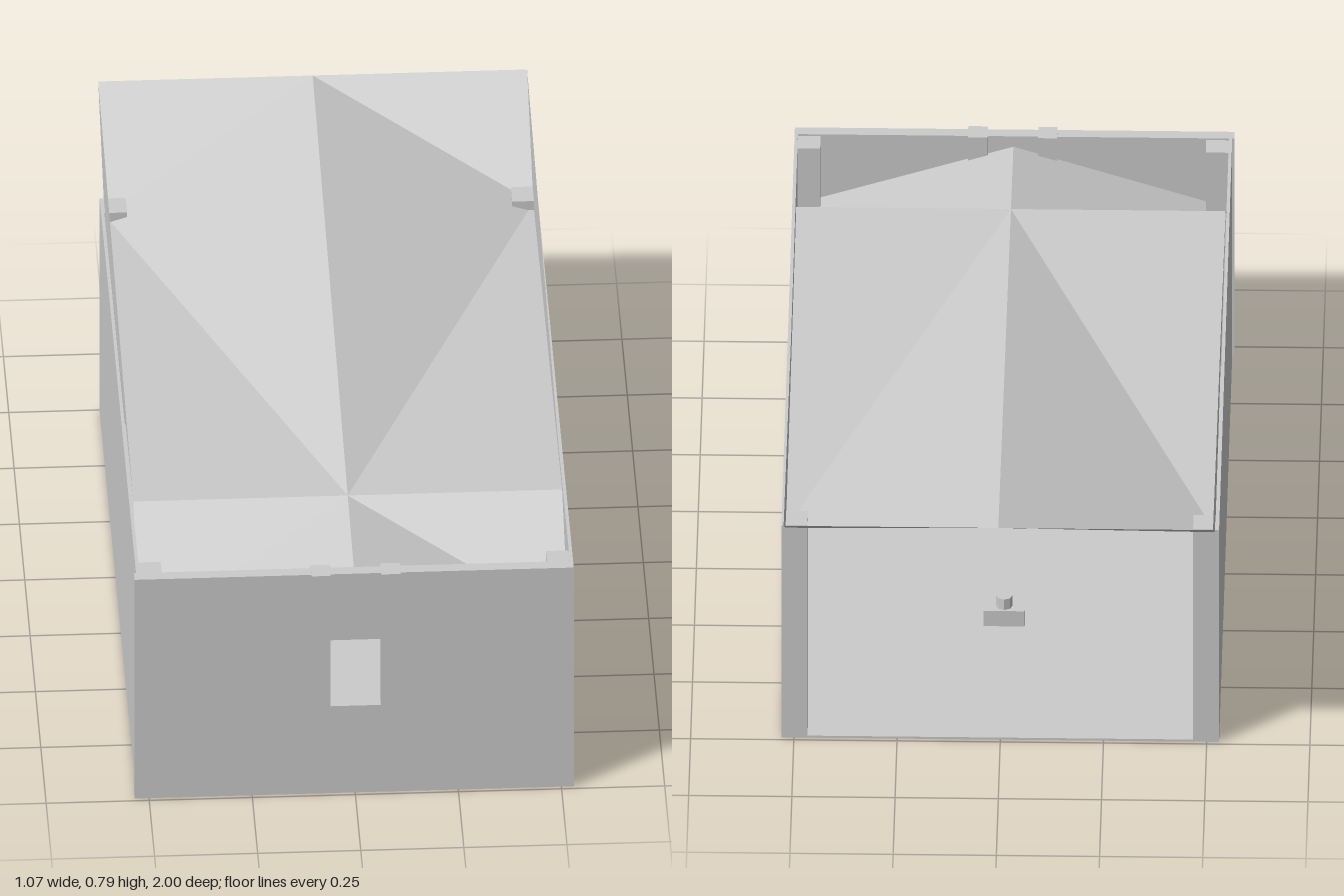
import * as THREE from 'three';

const material = new THREE.MeshStandardMaterial({ color: 0xcccccc, flatShading: true });
const sheetMaterial = new THREE.MeshStandardMaterial({ color: 0xcccccc, flatShading: true, side: THREE.DoubleSide });

export function createModel() {
  const model = new THREE.Group();

  const add = (name, geometry, mat = material) => {
    const mesh = new THREE.Mesh(geometry, mat);
    mesh.name = name;
    model.add(mesh);
    return mesh;
  };

  // Box given by its lower and upper corners
  const box = (name, x0, x1, y0, y1, z0, z1) =>
    add(name, new THREE.BoxGeometry(x1 - x0, y1 - y0, z1 - z0))
      .position.set((x0 + x1) / 2, (y0 + y1) / 2, (z0 + z1) / 2);

  box('floor', -0.53, 0.53, 0, 0.006, -0.74, 0.96);

  // Front wall with a small window
  const wall = new THREE.Shape([[-0.535, 0], [0.53, 0], [0.53, 0.63], [-0.535, 0.63]].map(p => new THREE.Vector2(...p)));
  wall.holes.push(new THREE.Path([[-0.06, 0.25], [-0.06, 0.44], [0.062, 0.44], [0.062, 0.25]].map(p => new THREE.Vector2(...p))));
  const wallGeometry = new THREE.ExtrudeGeometry(wall, { depth: 0.03, bevelEnabled: false });
  wallGeometry.translate(0, 0, 0.96);
  add('frontWall', wallGeometry);

  // Window jambs standing proud of the front wall
  box('windowJambRight', -0.106, -0.06, 0.24, 0.632, 0.95, 1);
  box('windowJambLeft', 0.062, 0.11, 0.24, 0.632, 0.95, 1);

  // Side walls, with a top that rises slightly to the front, and corner posts
  const sideShape = new THREE.Shape([[-0.96, 0], [0.74, 0], [0.74, 0.615], [-0.96, 0.63]].map(p => new THREE.Vector2(...p)));
  for (const s of [-1, 1]) {
    const side = s > 0 ? 'Left' : 'Right';
    const geometry = new THREE.ExtrudeGeometry(sideShape, { depth: 0.008, bevelEnabled: false });
    geometry.rotateY(Math.PI / 2);
    geometry.translate(s > 0 ? 0.522 : -0.53, 0, 0);
    add('sideWall' + side, geometry);
    const [x0, x1] = s > 0 ? [0.467, 0.528] : [-0.528, -0.467];
    box('backPost' + side, x0, x1, 0, 0.615, -0.74, -0.675);
    box('frontPost' + side, x0, x1, 0, 0.625, 0.905, 0.96);
  }

  // Folded roof sheet: one half as triangles, mirrored across the ridge
  const backRidge = [0, 0.785, -1], midRidge = [0, 0.63, 0.64], frontRidge = [0, 0.6, 0.96];
  const backCorner = [0.52, 0.785, -1], midCorner = [0.52, 0.63, 0.64];
  const backValley = [0.52, 0.588, -0.71], frontValley = [0.52, 0.433, 0.93], frontEnd = [0.52, 0.43, 0.96];
  const folds = [
    [backRidge, backValley, backCorner],
    [backRidge, midRidge, backValley],
    [backValley, midRidge, midCorner],
    [backCorner, backValley, midCorner],
    [midRidge, frontValley, midCorner],
    [midRidge, frontRidge, frontValley],
    [frontRidge, frontEnd, frontValley],
  ];
  for (const s of [-1, 1]) {
    const points = folds.flatMap(t => (s > 0 ? t : [...t].reverse()))
      .map(([x, y, z]) => new THREE.Vector3(s * x, y, z));
    const geometry = new THREE.BufferGeometry().setFromPoints(points);
    geometry.computeVertexNormals();
    add(s > 0 ? 'roofLeft' : 'roofRight', geometry, sheetMaterial);
  }

  // Small fitting in the middle of the floor
  box('floorFittingBase', -0.05, 0.05, 0.006, 0.05, -0.25, -0.2);
  add('floorFittingKnob', new THREE.CylinderGeometry(0.02, 0.02, 0.03, 8)).position.set(0, 0.065, -0.225);

  return model;
}
